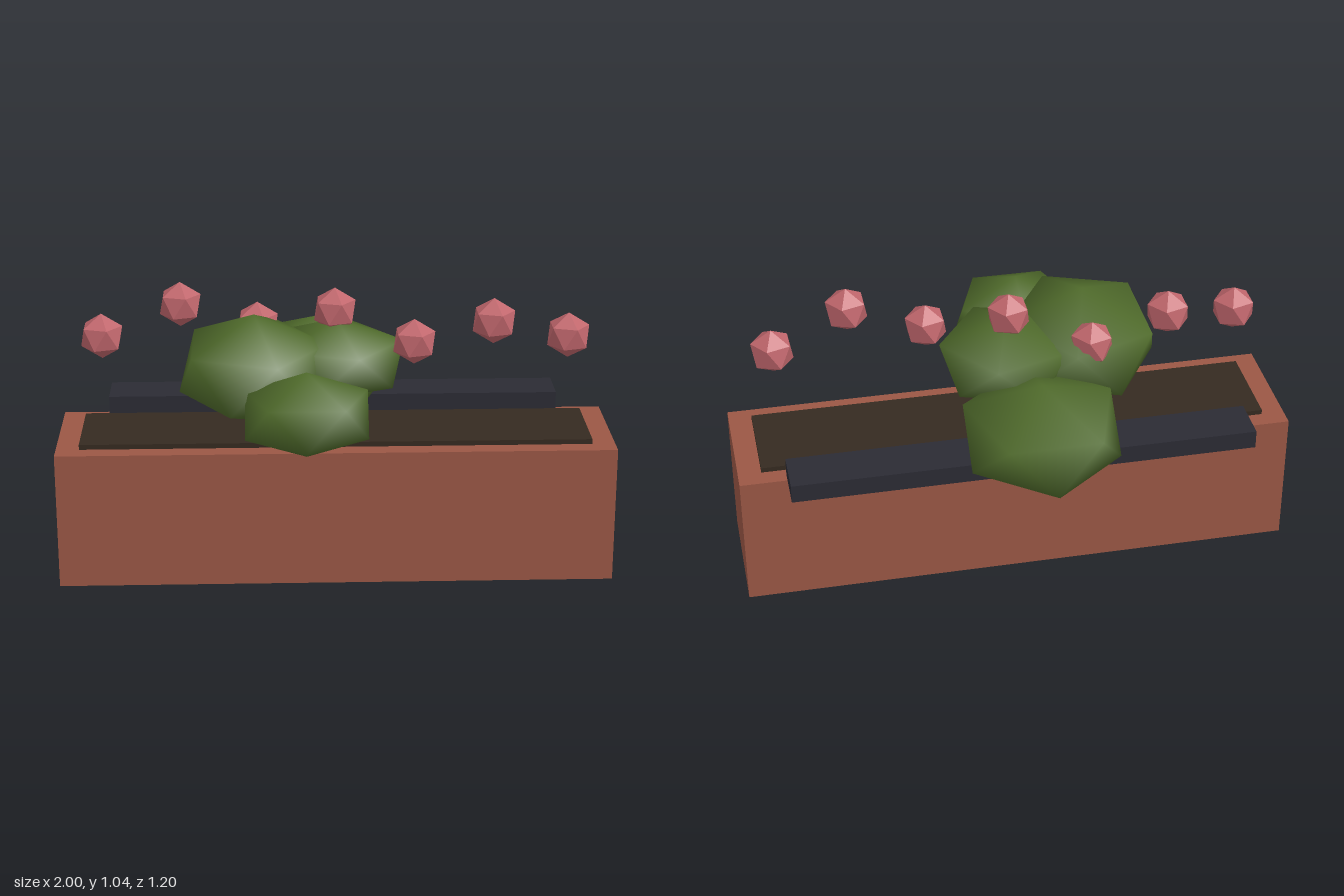
import * as THREE from 'three';
import { mergeVertices } from 'three/addons/utils/BufferGeometryUtils.js';

const mat = (name, color) => {
  const m = new THREE.MeshStandardMaterial({ color });
  m.name = name;
  return m;
};

// Icosahedron standing on one vertex
const uprightIcosahedron = (r) =>
  new THREE.IcosahedronGeometry(r, 0).rotateZ(-Math.atan(2 / (1 + Math.sqrt(5))));

export function createModel() {
  const group = new THREE.Group();
  const terracotta = mat('terracotta', 0x9a5745);
  const earth = mat('earth', 0x352a20);
  const iron = mat('dark iron', 0x2b2b34);
  const leaf = mat('leaf green', 0x4f6a2b);
  const petal = mat('petal pink', 0xc0666c);
  petal.flatShading = true;

  const add = (name, geometry, material) => {
    const mesh = new THREE.Mesh(geometry, material);
    mesh.name = name;
    group.add(mesh);
    return mesh;
  };
  // Box given by its lower and upper corners
  const box = (name, material, [x0, y0, z0], [x1, y1, z1]) =>
    add(name, new THREE.BoxGeometry(x1 - x0, y1 - y0, z1 - z0), material)
      .position.set((x0 + x1) / 2, (y0 + y1) / 2, (z0 + z1) / 2);

  box('planterBox', terracotta, [-1, 0, -0.22], [1, 0.5, 0.245]);
  box('soil', earth, [-0.917, 0.49, -0.155], [0.917, 0.518, 0.18]);
  box('backRail', iron, [-0.832, 0.502, -0.355], [0.832, 0.57, -0.188]);

  // Smooth foliage clumps: centre, radii, turn
  const clumps = [
    ['leftFoliage', [-0.29, 0.772, 0.09], [0.3, 0.197, 0.34], 0],
    ['frontFoliage', [-0.11, 0.702, 0.402], [0.25, 0.154, 0.225], Math.PI / 10],
    ['backFoliage', [-0.06, 0.652, -0.31], [0.312, 0.188, 0.325], -Math.PI / 2],
    ['rightFoliage', [0.005, 0.777, 0.01], [0.27, 0.15, 0.27], 0],
  ];
  for (const [name, centre, radii, turn] of clumps) {
    let g = uprightIcosahedron(1).rotateY(turn).scale(...radii);
    g.deleteAttribute('normal');
    g.deleteAttribute('uv');
    g = mergeVertices(g, 1e-3);
    g.computeVertexNormals();
    add(name, g, leaf).position.set(...centre);
  }

  // Row of faceted blossoms, alternating in height and weaving in depth
  const depths = [0.01, -0.1, -0.12, -0.01, 0.11, 0.14, 0.05];
  const blossom = uprightIcosahedron(0.083);
  depths.forEach((z, i) => {
    add('blossom' + (i + 1), blossom, petal)
      .position.set((i - 3) * 0.278, i % 2 ? 0.953 : 0.87, z);
  });
  return group;
}
